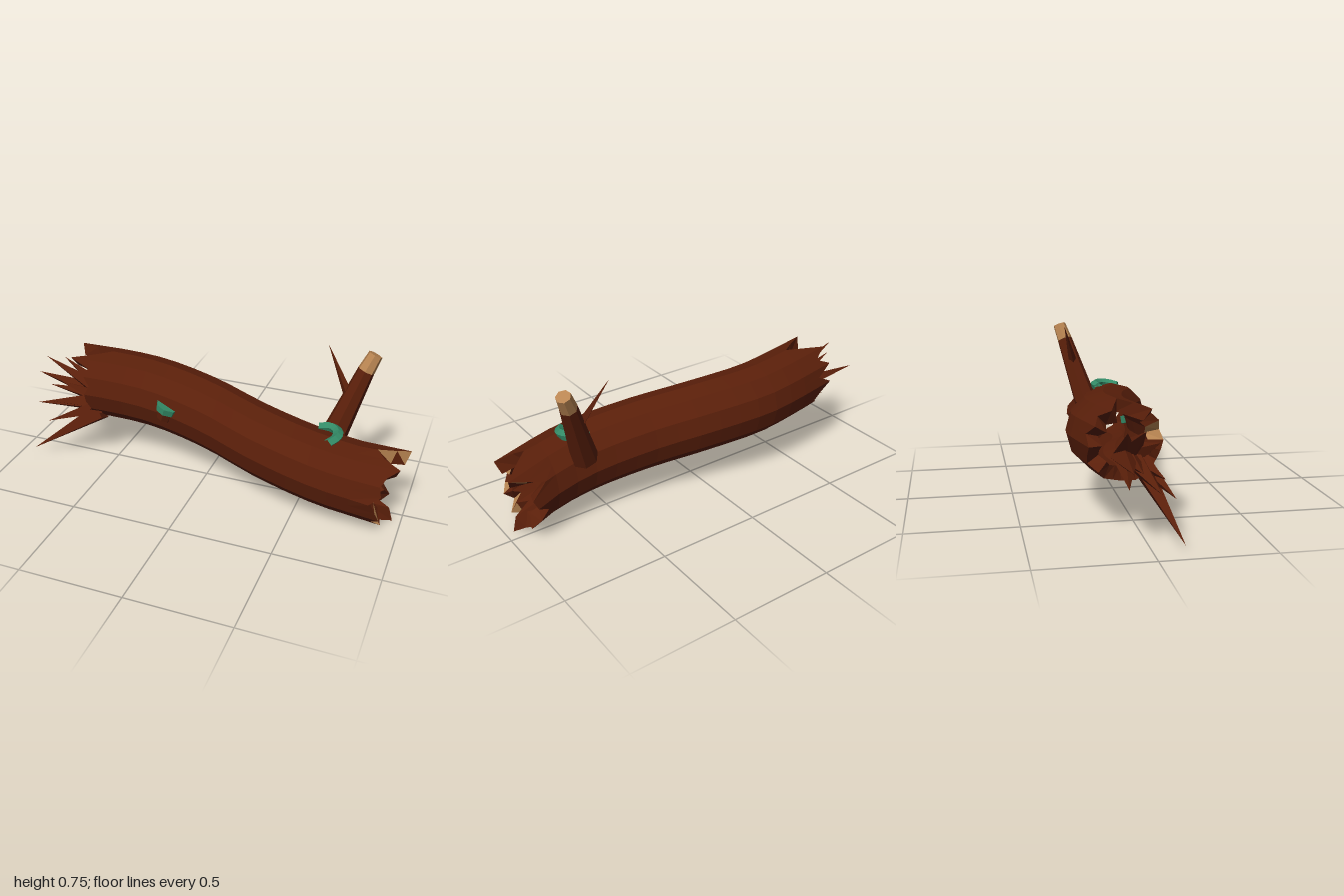
import * as THREE from 'three';

const material = (name, color, side = THREE.FrontSide) => {
  const m = new THREE.MeshStandardMaterial({ color, side, flatShading: true });
  m.name = name;
  return m;
};

// the log is a 12-sided prism; every side is halved so its ends can splinter more finely
const SIDES = 24, STEPS = 15, OUT = 0.176, IN = 0.115;
// centre line of the log: x, y, z
const LINE = [[-0.75, 0.402, -0.05], [-0.5, 0.387, -0.085], [-0.3, 0.37, -0.095], [0, 0.34, -0.04],
  [0.3, 0.295, 0.05], [0.6, 0.25, 0.1], [0.8, 0.215, 0.09], [1, 0.178, 0.05]];
// x of every splintered tooth, from the front side up over the top and around
const LEFT = [-0.62, -0.6, -0.63, -0.62, -0.72, -0.62, -0.54, -0.64, -0.74, -0.66, -0.73, -0.64,
  -0.72, -0.66, -0.62, -0.67, -0.64, -0.62, -0.6, -0.65, -0.62, -0.63, -0.6, -0.62];
const RIGHT = [0.87, 0.92, 0.91, 0.93, 0.98, 0.9, 0.86, 0.94, 1.0, 0.92, 0.84, 0.92,
  0.9, 0.84, 0.88, 0.92, 0.88, 0.91, 0.96, 0.87, 0.92, 0.88, 0.92, 0.9];

const toVectors = (points) => points.map((p) => new THREE.Vector3(...p));
const samples = new THREE.CatmullRomCurve3(toVectors(LINE)).getPoints(160);

// point on the log at a given x, side index and radius
function logPoint(x, k, radius) {
  let i = 0;
  while (i < samples.length - 2 && samples[i + 1].x < x) i++;
  const a = samples[i], b = samples[i + 1];
  const c = a.clone().lerp(b, (x - a.x) / (b.x - a.x));
  const r = k % 2 ? radius * Math.cos((Math.PI * 2) / SIDES) : radius;
  const t = (k / SIDES) * Math.PI * 2;
  return [x, c.y + r * Math.sin(t), c.z + r * Math.cos(t)];
}

// collects faces by material slot and turns them into one geometry with groups
function faceBuilder(slots) {
  const lists = Array.from({ length: slots }, () => []);
  const tri = (slot, a, b, c) => lists[slot].push(...a, ...b, ...c);
  return {
    // the two halves of a quad may differ in colour
    quad(a, b, c, d, slot, slot2 = slot) {
      tri(slot, a, b, c);
      tri(slot2, a, c, d);
    },
    build() {
      const g = new THREE.BufferGeometry();
      let start = 0;
      lists.forEach((l, i) => {
        g.addGroup(start, l.length / 3, i);
        start += l.length / 3;
      });
      g.setAttribute('position', new THREE.Float32BufferAttribute(lists.flat(), 3));
      g.computeVertexNormals();
      return g;
    },
  };
}

function logGeometry() {
  const BARK = 0, WOOD = 1, UNDER = 2;
  const f = faceBuilder(3);
  const station = (k, s, inset) => {
    const i = k % SIDES;
    if (s === 0) return LEFT[i] + inset;
    if (s === STEPS) return RIGHT[i] - inset;
    return -0.53 + ((s - 1) / (STEPS - 2)) * 1.31;
  };
  const outer = (k, s) => logPoint(station(k, s, 0), k, s === STEPS ? 0.184 : OUT);
  const inner = (k, s) => logPoint(station(k, s, 0.02), k, IN);
  const sliver = [6, 7, 8, 9, 19, 20, 22];
  for (let k = 0; k < SIDES; k++) {
    for (let s = 0; s < STEPS; s++) {
      // dark underside with a ragged rear edge
      const under = s > 0 && s < STEPS && ((k >= 17 && k <= 19) || (k === 16 && s < 5));
      const ragged = k === 16 && s > 4 && s < STEPS;
      f.quad(outer(k, s), outer(k, s + 1), outer(k + 1, s + 1), outer(k + 1, s),
        under || ragged ? UNDER : BARK, under ? UNDER : BARK);
      f.quad(inner(k, s), inner(k + 1, s), inner(k + 1, s + 1), inner(k, s + 1), BARK);
    }
    // splintered rims, with fresh wood showing in places
    const fresh = k < 3;
    f.quad(outer(k, STEPS), inner(k, STEPS), inner(k + 1, STEPS), outer(k + 1, STEPS),
      fresh ? WOOD : BARK, fresh || sliver.includes(k) ? WOOD : BARK);
    f.quad(outer(k, 0), outer(k + 1, 0), inner(k + 1, 0), inner(k, 0), k < 2 ? WOOD : BARK);
  }
  return f.build();
}

// tapered straight limb between two points
function limb(name, from, to, r0, r1, sides, mat) {
  const a = new THREE.Vector3(...from), b = new THREE.Vector3(...to);
  const dir = b.clone().sub(a);
  const mesh = new THREE.Mesh(new THREE.CylinderGeometry(r1, r0, dir.length(), sides), mat);
  mesh.position.copy(a).add(b).multiplyScalar(0.5);
  mesh.quaternion.setFromUnitVectors(new THREE.Vector3(0, 1, 0), dir.normalize());
  mesh.name = name;
  return mesh;
}

export function createModel() {
  const bark = material('bark brown', 0x5a1f0a);
  const wood = material('cut wood tan', 0xb98552);
  const under = material('damp underside', 0x1e0b0c);
  const green = material('fungus green', 0x338a66, THREE.DoubleSide);
  const model = new THREE.Group();
  model.name = 'fallenLog';

  const log = new THREE.Mesh(logGeometry(), [bark, wood, under]);
  log.name = 'hollowLog';
  model.add(log);

  // broken branch with a pale cut tip and a side twig
  const branch = new THREE.Group();
  branch.name = 'branch';
  branch.add(
    limb('branchStem', [0.622, 0.33, -0.042], [0.735, 0.66, -0.14], 0.064, 0.041, 7, bark),
    limb('branchTip', [0.735, 0.66, -0.14], [0.768, 0.738, -0.165], 0.041, 0.035, 7, wood),
    limb('twig', [0.675, 0.53, -0.1], [0.545, 0.755, -0.165], 0.024, 0, 4, bark),
  );
  model.add(branch);

  // splintered roots bursting from the left end: tip and base radius
  const roots = new THREE.Group();
  roots.name = 'roots';
  const tips = [
    [-0.9, 0.5, -0.03, 0.055], [-1.0, 0.36, -0.1, 0.06], [-0.94, 0.25, 0.03, 0.06],
    [-0.925, 0.03, 0.13, 0.055], [-0.83, 0.48, -0.09, 0.05], [-0.77, 0.42, 0.06, 0.05],
    [-0.9, 0.33, -0.04, 0.05], [-0.84, 0.2, 0.11, 0.05], [-0.86, 0.29, 0.06, 0.05],
    [-0.82, 0.24, -0.08, 0.05],
  ];
  tips.forEach(([x, y, z, r]) => {
    const base = [-0.57, 0.31 + (y - 0.3) * 0.15, -0.02 + z * 0.35];
    roots.add(limb('rootSpike', base, [x, y, z], r, 0, 4, bark));
  });
  model.add(roots);

  // curled fungus at the foot of the branch
  const curl = new THREE.CatmullRomCurve3(toVectors([
    [0.57, 0.412, 0.022], [0.625, 0.418, 0.012], [0.665, 0.418, 0.045], [0.67, 0.412, 0.09], [0.64, 0.402, 0.14],
  ]));
  const curlMesh = new THREE.Mesh(new THREE.TubeGeometry(curl, 9, 0.025, 5), green);
  curlMesh.name = 'curledFungus';
  model.add(curlMesh);

  // shelf fungus on the front side with its stub
  const shelf = new THREE.Mesh(new THREE.CylinderGeometry(0.062, 0.058, 0.034, 8), green);
  shelf.position.set(-0.18, 0.39, 0.066);
  shelf.rotation.z = -0.3;
  shelf.name = 'shelfFungus';
  const stub = limb('shelfStub', [-0.2, 0.33, 0.068], [-0.185, 0.375, 0.068], 0.04, 0.05, 8, bark);
  model.add(shelf, stub);

  return model;
}
